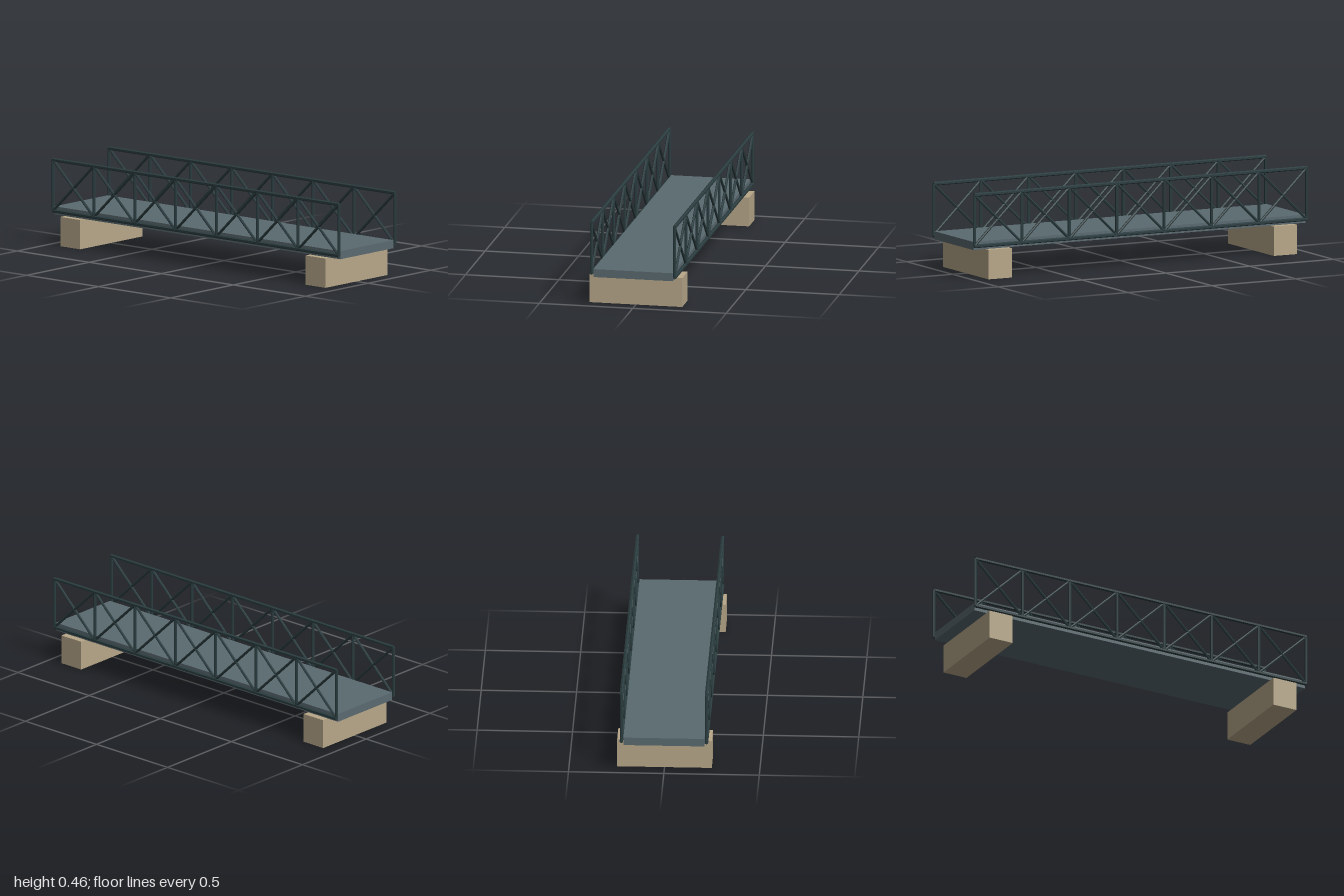
import * as THREE from 'three';

const HALF = 0.992, PANELS = 7;      // truss half length and bay count
const LOW = 0.177, HIGH = 0.449;     // chord centre heights
const SIDE = 0.223;                  // truss distance from the centreline

const steel = new THREE.MeshStandardMaterial({ color: 0x2b3d40, flatShading: true });
const deckMat = new THREE.MeshStandardMaterial({ color: 0x5a6a70 });
const stone = new THREE.MeshStandardMaterial({ color: 0xb8a88a });

// Six-sided bar between two points of the truss plane
function bar(name, x1, y1, x2, y2, radius, turn = 0) {
  const dir = new THREE.Vector3(x2 - x1, y2 - y1, 0);
  const geo = new THREE.CylinderGeometry(radius, radius, dir.length(), 6);
  geo.rotateY(turn);
  const mesh = new THREE.Mesh(geo, steel);
  mesh.name = name;
  mesh.position.set((x1 + x2) / 2, (y1 + y2) / 2, 0);
  mesh.quaternion.setFromUnitVectors(new THREE.Vector3(0, 1, 0), dir.normalize());
  return mesh;
}

function box(name, w, h, d, x, y, material) {
  const mesh = new THREE.Mesh(new THREE.BoxGeometry(w, h, d), material);
  mesh.name = name;
  mesh.position.set(x, y, 0);
  return mesh;
}

// One side truss: two chords, posts and crossed braces
function truss(name, z) {
  const group = new THREE.Group();
  group.name = name;
  group.position.z = z;
  group.add(bar('bottomChord', -HALF, LOW, HALF, LOW, 0.01, Math.PI / 6));
  group.add(bar('topChord', -HALF, HIGH, HALF, HIGH, 0.01, Math.PI / 6));
  const step = 2 * HALF / PANELS;
  for (let i = 0; i <= PANELS; i++) {
    const x = -HALF + i * step;
    group.add(bar('post', x, LOW, x, HIGH, 0.008));
    if (i === PANELS) break;
    group.add(bar('brace', x, LOW, x + step, HIGH, 0.007));
    group.add(bar('brace', x, HIGH, x + step, LOW, 0.007));
  }
  return group;
}

export function createModel() {
  const model = new THREE.Group();
  model.name = 'trussBridge';
  model.add(box('deck', 2 * HALF, 0.043, 0.425, 0, 0.1775, deckMat));
  model.add(truss('leftTruss', SIDE), truss('rightTruss', -SIDE));
  // Support blocks under each end
  for (const s of [-1, 1]) {
    model.add(box('pier', 0.138, 0.156, 0.496, s * 0.851, 0.078, stone));
  }
  return model;
}
